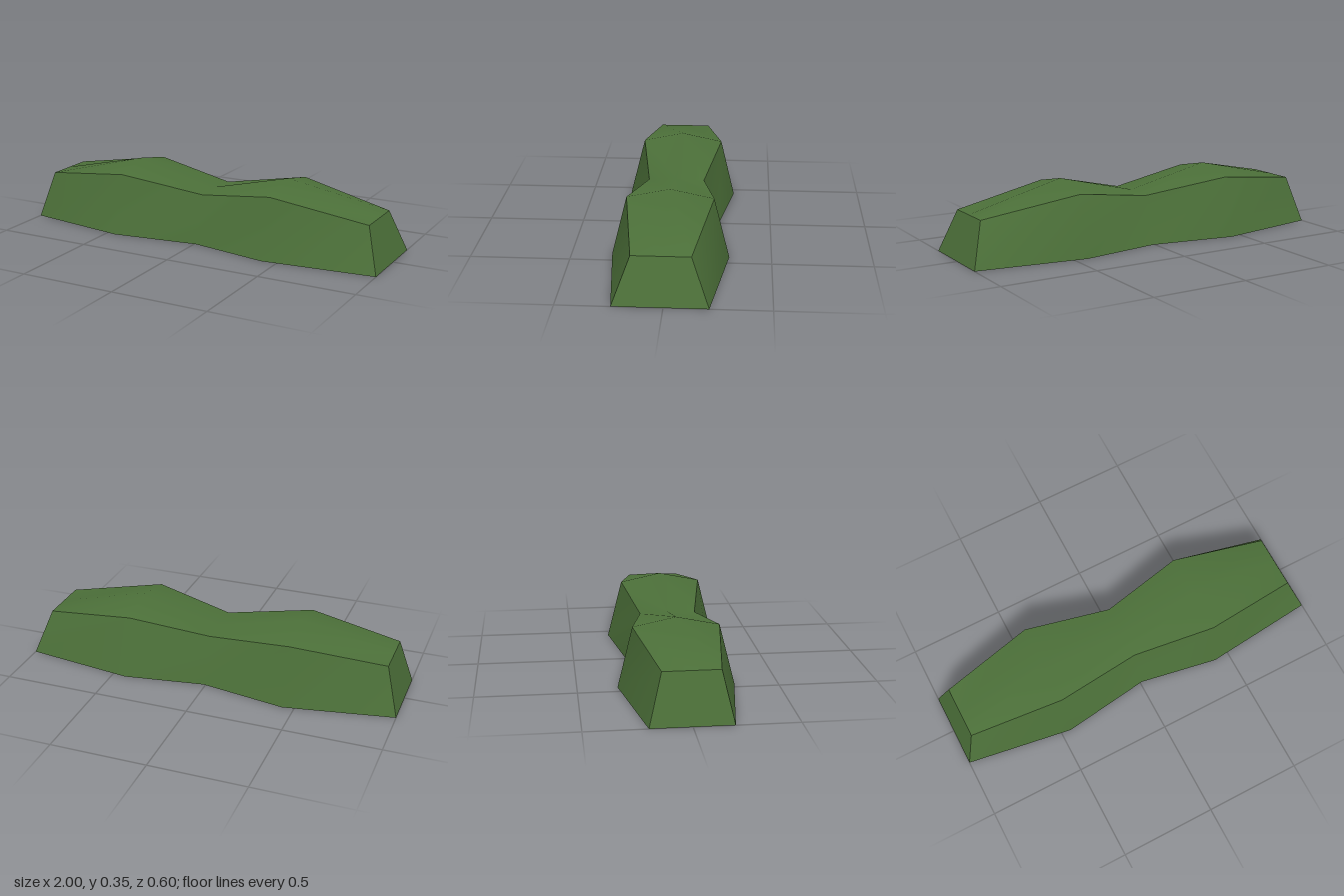
import * as THREE from 'three';
import { toCreasedNormals } from 'three/addons/utils/BufferGeometryUtils.js';

// Surface made of four-cornered faces, smooth across shallow bends
function quadSurface(quads) {
  const pos = [];
  for (const [a, b, c, d] of quads) pos.push(...a, ...b, ...c, ...a, ...c, ...d);
  const geo = new THREE.BufferGeometry();
  geo.setAttribute('position', new THREE.Float32BufferAttribute(pos, 3));
  return toCreasedNormals(geo, 0.7);
}

// Cross-section points from front foot over the ridge to back foot
function section(s) {
  return [
    [s.footX[0], 0, s.foot[0]],
    [s.x, s.rimY, s.rim[0]],
    [s.x, s.ridgeY, (s.rim[0] + s.rim[1]) / 2],
    [s.x, s.rimY, s.rim[1]],
    [s.footX[1], 0, s.foot[1]],
  ];
}

export function createModel() {
  const group = new THREE.Group();
  const leaf = new THREE.MeshStandardMaterial({ color: 0x4c7039, side: THREE.DoubleSide });
  leaf.name = 'leafGreen';

  const add = (name, quads) => {
    const mesh = new THREE.Mesh(quadSurface(quads), leaf);
    mesh.name = name;
    group.add(mesh);
  };

  // Five stations along the hedge: two swellings with a waist between
  const rings = [
    { x: -0.93, footX: [-1, -1], foot: [0.195, -0.2], rim: [0.14, -0.135], rimY: 0.245, ridgeY: 0.245 },
    { x: -0.445, footX: [-0.45, -0.44], foot: [0.283, -0.3], rim: [0.205, -0.225], rimY: 0.31, ridgeY: 0.355 },
    { x: 0.005, footX: [0.01, 0.01], foot: [0.222, -0.225], rim: [0.143, -0.145], rimY: 0.245, ridgeY: 0.252 },
    { x: 0.425, footX: [0.42, 0.43], foot: [0.297, -0.29], rim: [0.22, -0.212], rimY: 0.31, ridgeY: 0.355 },
    { x: 0.925, footX: [1, 1], foot: [0.24, -0.21], rim: [0.155, -0.125], rimY: 0.222, ridgeY: 0.222 },
  ].map(section);

  // Strip of faces along the hedge between section points j and j + 1
  const strip = (j) => rings.slice(1).map((next, i) =>
    [rings[i][j], next[j], next[j + 1], rings[i][j + 1]]);

  add('frontWall', strip(0));
  add('hedgeTop', [...strip(1), ...strip(2)]);
  add('backWall', strip(3));

  // Sloping ends
  const [r, l] = [rings[0], rings[4]];
  add('leftEnd', [[l[0], l[4], l[3], l[1]]]);
  add('rightEnd', [[r[4], r[0], r[1], r[3]]]);

  // Flat panels inside the waist, with the underside left open
  for (const s of [1, -1]) {
    const corners = [
      [-0.14, 0, 0.2 * s], [0.09, 0, 0.215 * s],
      [0.09, 0.24, 0.136 * s], [-0.14, 0.24, 0.14 * s],
    ];
    add(s > 0 ? 'frontInnerPanel' : 'backInnerPanel', [s > 0 ? corners : corners.reverse()]);
  }

  return group;
}
